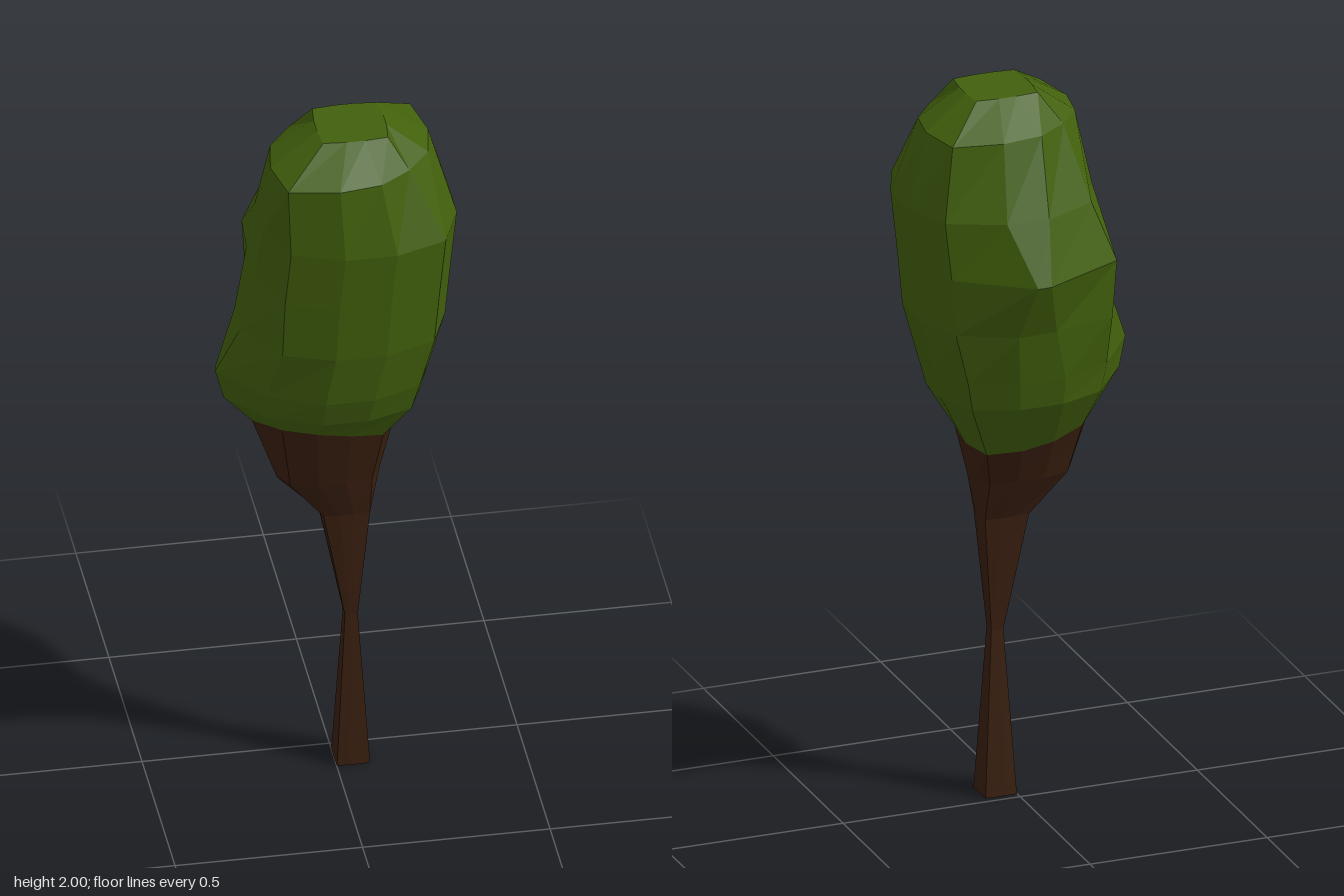
import * as THREE from 'three';

const SIDES = 12;

// Blunt points that the foliage is drawn out towards: tip, reach, strength
const bulges = [
  { tip: new THREE.Vector3(-0.333, 1.25, 0.05), reach: 0.25, strength: 1.5 },
  { tip: new THREE.Vector3(0.045, 1.56, -0.315), reach: 0.24, strength: 1.75 },
  { tip: new THREE.Vector3(-0.21, 1.5, -0.18), reach: 0.2, strength: 1.5 },
];

// One rounded-square cross-section; the bounds may be off-centre and the ring tilted.
// Skew makes one pair of opposite corners squarer and cuts the other pair.
function ring([y, left, right, back, front, squareness, tilt = 0, skew = 0]) {
  const cx = (left + right) / 2, cz = (back + front) / 2;
  return Array.from({ length: SIDES }, (_, i) => {
    const a = (i + 0.5) / SIDES * Math.PI * 2;
    const c = Math.cos(a), s = Math.sin(a);
    const power = squareness - skew * Math.sign(c * s);
    const r = (Math.abs(c) ** power + Math.abs(s) ** power) ** (-1 / power);
    const x = cx + c * r * (right - left) / 2;
    const z = cz + s * r * (front - back) / 2;
    const p = new THREE.Vector3(x, y + tilt * (z - cz) - tilt * 0.6 * (x - cx), z);
    const moved = p.clone();
    for (const { tip, reach, strength } of bulges) {
      const w = THREE.MathUtils.clamp(strength * (1 - p.distanceTo(tip) / reach), 0, 1);
      moved.x += w * (tip.x - p.x);
      moved.z += w * (tip.z - p.z);
    }
    return moved;
  });
}

// Faceted skin through the rings, closed at both ends
function loft(name, rows, color) {
  const rings = rows.map(ring);
  const pts = [];
  const middle = r => r.reduce((m, p) => m.addScaledVector(p, 1 / SIDES), new THREE.Vector3());
  const first = rings[0], last = rings[rings.length - 1];
  const bottom = middle(first), top = middle(last);
  for (let i = 0; i < SIDES; i++) {
    const n = (i + 1) % SIDES;
    pts.push(bottom, first[i], first[n], top, last[n], last[i]);
    for (let k = 0; k < rings.length - 1; k++) {
      const lo = rings[k], hi = rings[k + 1];
      pts.push(lo[i], hi[i], lo[n], hi[i], hi[n], lo[n]);
    }
  }
  const geometry = new THREE.BufferGeometry().setFromPoints(pts);
  geometry.computeVertexNormals();
  const mesh = new THREE.Mesh(geometry, new THREE.MeshStandardMaterial({ color, flatShading: true }));
  mesh.name = name;
  return mesh;
}

export function createModel() {
  const group = new THREE.Group();
  group.name = 'tree';

  // Shared seam between bark and leaves
  const seam = [1.06, -0.19, 0.15, -0.08, 0.19, 3, 0.28];

  // Rows: y, left, right, back, front, squareness, tilt, skew
  group.add(loft('trunk', [
    [0, 0, 0.09, 0.02, 0.11, 30],
    [0.46, 0.025, 0.06, 0.055, 0.09, 30],
    [0.79, -0.04, 0.095, 0.02, 0.11, 8],
    [0.91, -0.155, 0.12, -0.035, 0.145, 3],
    seam,
  ], 0x3a1f10));

  group.add(loft('crown', [
    seam,
    [1.17, -0.225, 0.23, -0.165, 0.245, 3],
    [1.25, -0.235, 0.25, -0.185, 0.27, 3],
    [1.4, -0.22, 0.29, -0.195, 0.29, 3],
    [1.56, -0.215, 0.305, -0.2, 0.295, 3],
    [1.72, -0.2, 0.32, -0.19, 0.3, 3],
    [1.92, -0.18, 0.26, -0.135, 0.275, 3.5, 0, 2],
    [2, -0.05, 0.135, -0.02, 0.16, 10],
  ], 0x42600c));

  return group;
}
